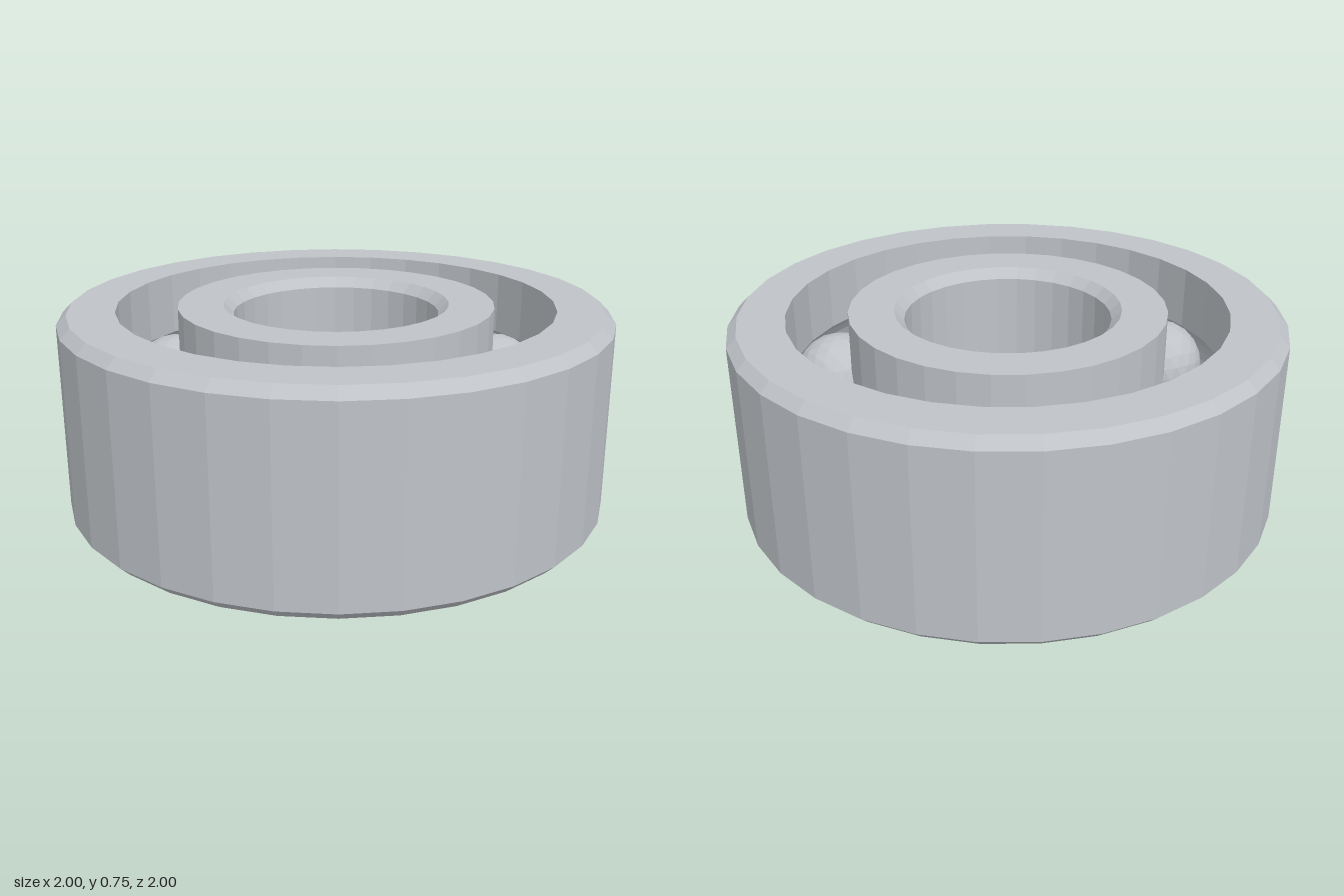
import * as THREE from 'three';

const HEIGHT = 0.75, MID = HEIGHT / 2, BEVEL = 0.036;
const PITCH = 0.685, BALL = 0.173, GROOVE = 0.177;
const SEGMENTS = 32, BALLS = 8;

// Faceted normals for a low-poly look
function faceted(geometry) {
  const flat = geometry.index ? geometry.toNonIndexed() : geometry;
  flat.computeVertexNormals();
  return flat;
}

// Arc of the ball groove cut into a wall, listed in drawing order.
// side = 1: outer race wall, running downwards; side = -1: inner race wall, running upwards
function groove(wall, side) {
  const half = Math.acos(Math.abs(wall - PITCH) / GROOVE);
  const points = [];
  for (let i = 0; i <= 8; i++) {
    const a = half * (1 - i / 4);
    points.push([PITCH + side * GROOVE * Math.cos(a), MID + side * GROOVE * Math.sin(a)]);
  }
  return points;
}

// Counter-clockwise closed profile turned about the y axis
function ring(name, profile, material) {
  const points = [...profile, profile[0]].map(([r, y]) => new THREE.Vector2(r, y));
  const mesh = new THREE.Mesh(faceted(new THREE.LatheGeometry(points, SEGMENTS)), material);
  mesh.name = name;
  return mesh;
}

export function createModel() {
  const model = new THREE.Group();
  model.name = 'ballBearing';
  const steel = new THREE.MeshStandardMaterial({ color: 0xbfc3c8 });
  steel.name = 'steel';

  // Outer race: bevelled outside, grooved inside
  const outerWall = 0.795;
  model.add(ring('outerRace', [
    [outerWall, 0], [1 - BEVEL, 0], [1, BEVEL],
    [1, HEIGHT - BEVEL], [1 - BEVEL, HEIGHT], [outerWall, HEIGHT],
    ...groove(outerWall, 1),
  ], steel));

  // Inner race: grooved outside, bevelled bore
  const innerWall = 0.575, bore = 0.375;
  model.add(ring('innerRace', [
    [bore + BEVEL, 0], [innerWall, 0],
    ...groove(innerWall, -1),
    [innerWall, HEIGHT], [bore + BEVEL, HEIGHT],
    [bore, HEIGHT - BEVEL], [bore, BEVEL],
  ], steel));

  // Balls: faceted spheres with a vertex at each pole
  const ballGeometry = faceted(new THREE.IcosahedronGeometry(BALL, 3));
  ballGeometry.rotateZ(-Math.atan(2 / (1 + Math.sqrt(5))));
  const balls = new THREE.Group();
  balls.name = 'balls';
  for (let i = 0; i < BALLS; i++) {
    const a = (i / BALLS) * Math.PI * 2;
    const ball = new THREE.Mesh(ballGeometry, steel);
    ball.name = `ball${i + 1}`;
    ball.position.set(PITCH * Math.sin(a), MID, PITCH * Math.cos(a));
    ball.rotation.y = a;
    balls.add(ball);
  }
  model.add(balls);

  return model;
}
